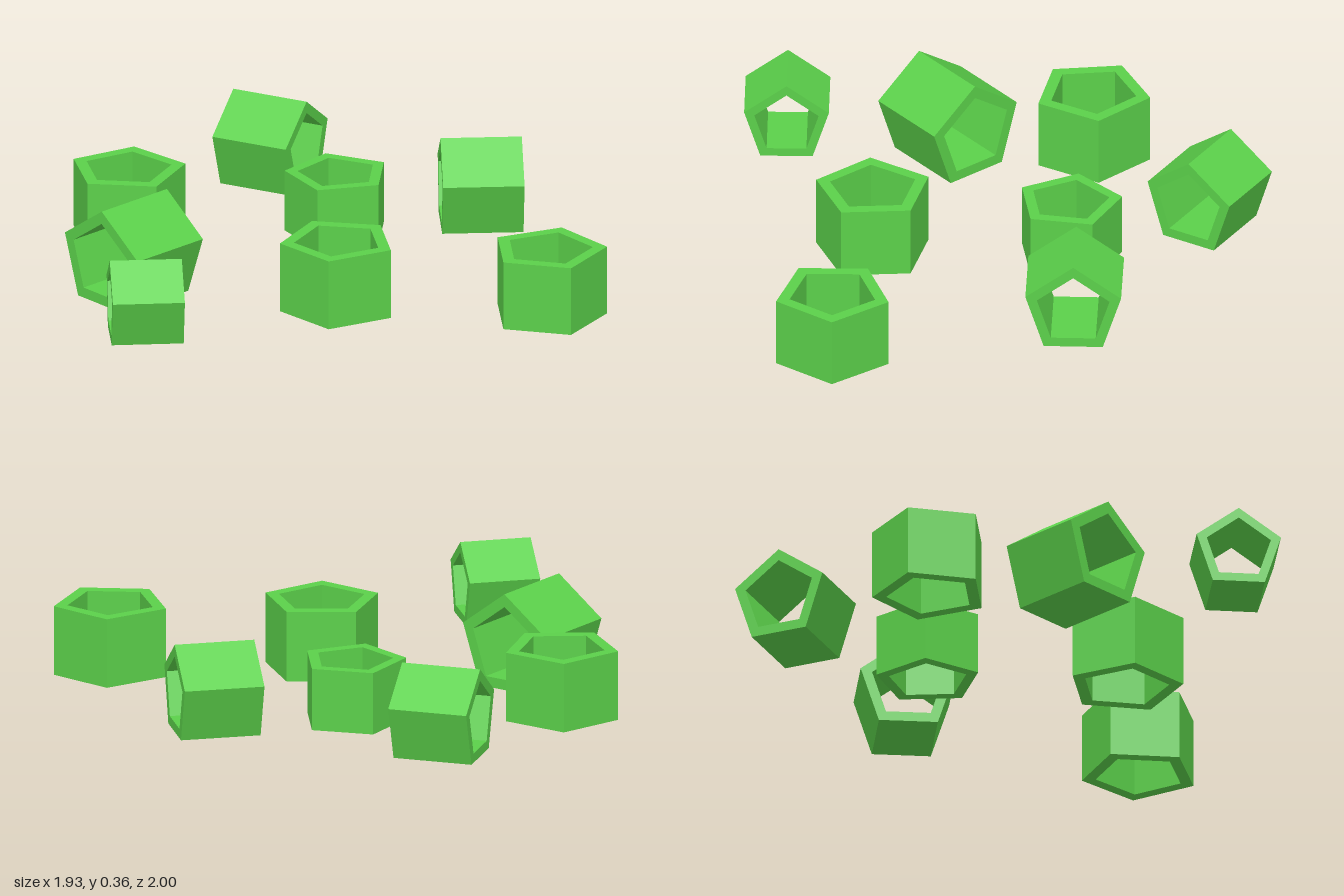
import * as THREE from 'three';

const rad = THREE.MathUtils.degToRad;
const HOLE = 0.76; // hole radius as a share of the outer radius

function pentagon(radius, startDeg) {
  return Array.from({ length: 5 }, (_, i) => {
    const a = rad(startDeg + i * 72);
    return new THREE.Vector2(radius * Math.cos(a), radius * Math.sin(a));
  });
}

// Five-sided tube, centred on the origin, with its axis along z
function tubeGeometry(radius, length, startDeg) {
  const shape = new THREE.Shape(pentagon(radius, startDeg));
  shape.holes.push(new THREE.Path(pentagon(radius * HOLE, startDeg).reverse()));
  const geo = new THREE.ExtrudeGeometry(shape, { depth: length, bevelEnabled: false });
  return geo.translate(0, 0, -length / 2);
}

export function createModel() {
  const model = new THREE.Group();
  model.name = 'scatteredPentagonTubes';
  const green = new THREE.MeshStandardMaterial({ color: 0x5bd04a });
  green.name = 'green';

  // Upright tubes: x, y, z, radius, height, direction of one corner seen from above
  const upright = [
    [-0.268, 0.15, -0.388, 0.184, 0.22, -77.5],
    [0.771, 0.149, -0.393, 0.203, 0.246, 93],
    [-0.776, 0.149, 0.127, 0.203, 0.246, 86.3],
    [0.221, 0.149, 0.078, 0.203, 0.25, -90.8],
  ];
  upright.forEach(([x, y, z, radius, height, corner], i) => {
    const geo = tubeGeometry(radius, height, -corner).rotateX(-Math.PI / 2);
    const mesh = new THREE.Mesh(geo, green);
    mesh.name = `uprightTube${i + 1}`;
    mesh.position.set(x, y, z);
    model.add(mesh);
  });

  // Lying tubes with a ridge on top: x, y, z, radius, length, yaw, ridge direction
  const lying = [
    [-0.764, 0.19, -0.539, 0.173, 0.28, 110.3, 90],
    [0.024, 0.19, -0.789, 0.173, 0.28, -40.4, 90],
    [-0.402, 0.158, 0.455, 0.19, 0.31, 0, 89],
    [0.024, 0.19, 0.805, 0.153, 0.248, -39.5, 90],
  ];
  lying.forEach(([x, y, z, radius, length, yaw, ridge], i) => {
    const mesh = new THREE.Mesh(tubeGeometry(radius, length, ridge), green);
    mesh.name = `lyingTube${i + 1}`;
    mesh.position.set(x, y, z);
    mesh.rotation.y = rad(yaw);
    model.add(mesh);
  });

  return model;
}
